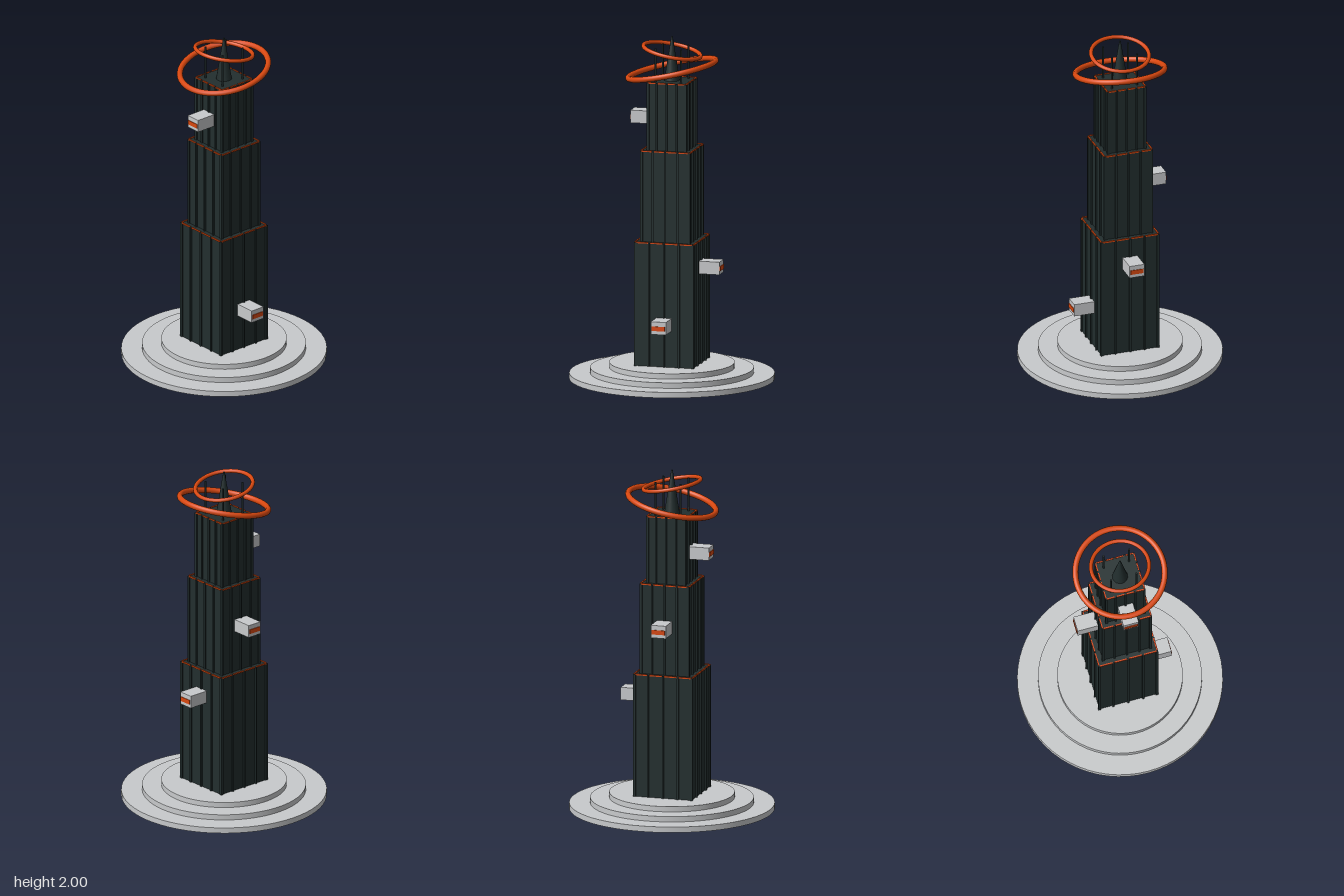
import * as THREE from 'three';

export function createModel() {
  const model = new THREE.Group();
  model.name = 'tower';

  const mat = (name, color) => {
    const m = new THREE.MeshStandardMaterial({ color });
    m.name = name;
    return m;
  };
  const dark = mat('dark slate', 0x222e2e);
  const grey = mat('pale grey', 0xc8cacc);
  const orange = mat('burnt orange', 0xd9480f);

  const add = (parent, name, geometry, material, x, y, z) => {
    const mesh = new THREE.Mesh(geometry, material);
    mesh.name = name;
    mesh.position.set(x, y, z);
    parent.add(mesh);
    return mesh;
  };
  const box = (w, h, d) => new THREE.BoxGeometry(w, h, d);

  // Stepped round base
  [[0.59, 0, 0.033], [0.47, 0.033, 0.065], [0.36, 0.065, 0.096]].forEach(([r, y0, y1], i) =>
    add(model, `baseStep${i + 1}`, new THREE.CylinderGeometry(r, r, y1 - y0, 64), grey, 0, (y0 + y1) / 2, 0));

  // Square tiers: core, vertical ribs and dashed trim along the top edges
  function addTier(name, half, y0, y1) {
    const tier = new THREE.Group();
    tier.name = name;
    const h = y1 - y0, mid = (y0 + y1) / 2;
    const core = half - 0.007;
    add(tier, 'core', box(core * 2, h, core * 2), dark, 0, mid, 0);

    for (const sx of [-1, 1]) for (const sz of [-1, 1]) {
      add(tier, 'cornerRib', box(0.015, h, 0.015), dark, sx * (half - 0.0075), mid, sz * (half - 0.0075));
    }
    for (let side = 0; side < 4; side++) {
      const wall = new THREE.Group();
      wall.name = 'wall';
      wall.rotation.y = side * Math.PI / 2;
      for (const k of [-0.5, 0, 0.5]) {
        add(wall, 'rib', box(0.01, h, 0.012), dark, k * half, mid, half - 0.004);
      }
      for (const k of [-0.75, -0.25, 0.25, 0.75]) {
        add(wall, 'trim', box(half * 0.5 - 0.014, 0.008, 0.008), orange, k * half * 0.98, y1, half - 0.004);
      }
      tier.add(wall);
    }
    model.add(tier);
  }
  addTier('lowerTier', 0.178, 0.096, 0.818);
  addTier('middleTier', 0.149, 0.818, 1.348);
  addTier('upperTier', 0.119, 1.348, 1.742);

  // Projecting pods, one on each side, with a bright window at the outer end
  function addPod(name, angle, start, y) {
    const pod = new THREE.Group();
    pod.name = name;
    pod.rotation.y = angle;
    add(pod, 'podBody', box(0.09, 0.074, 0.122), grey, 0, y, start + 0.055);
    add(pod, 'podWindow', box(0.078, 0.026, 0.006), orange, 0, y - 0.003, start + 0.117);
    model.add(pod);
  }
  addPod('frontPod', 0, 0.119, 1.526);
  addPod('leftPod', Math.PI / 2, 0.178, 0.346);
  addPod('backPod', Math.PI, 0.178, 0.664);
  addPod('rightPod', -Math.PI / 2, 0.149, 1.102);

  // Spire and four antennas
  add(model, 'spire', new THREE.CylinderGeometry(0.004, 0.045, 0.258, 16), dark, 0, 1.871, 0);
  for (const sx of [-1, 1]) for (const sz of [-1, 1]) {
    add(model, 'antenna', new THREE.CylinderGeometry(0.006, 0.006, 0.2, 8), dark, sx * 0.076, 1.838, sz * 0.076);
  }

  // Tilted rings around the spire
  const ring = (name, r, tube, y, tilt) => {
    const mesh = add(model, name, new THREE.TorusGeometry(r, tube, 10, 64), orange, 0, y, 0);
    mesh.rotation.x = Math.PI / 2 + tilt;
  };
  ring('largeRing', 0.257, 0.017, 1.807, 0.21);
  ring('smallRing', 0.167, 0.012, 1.914, -0.19);

  return model;
}
